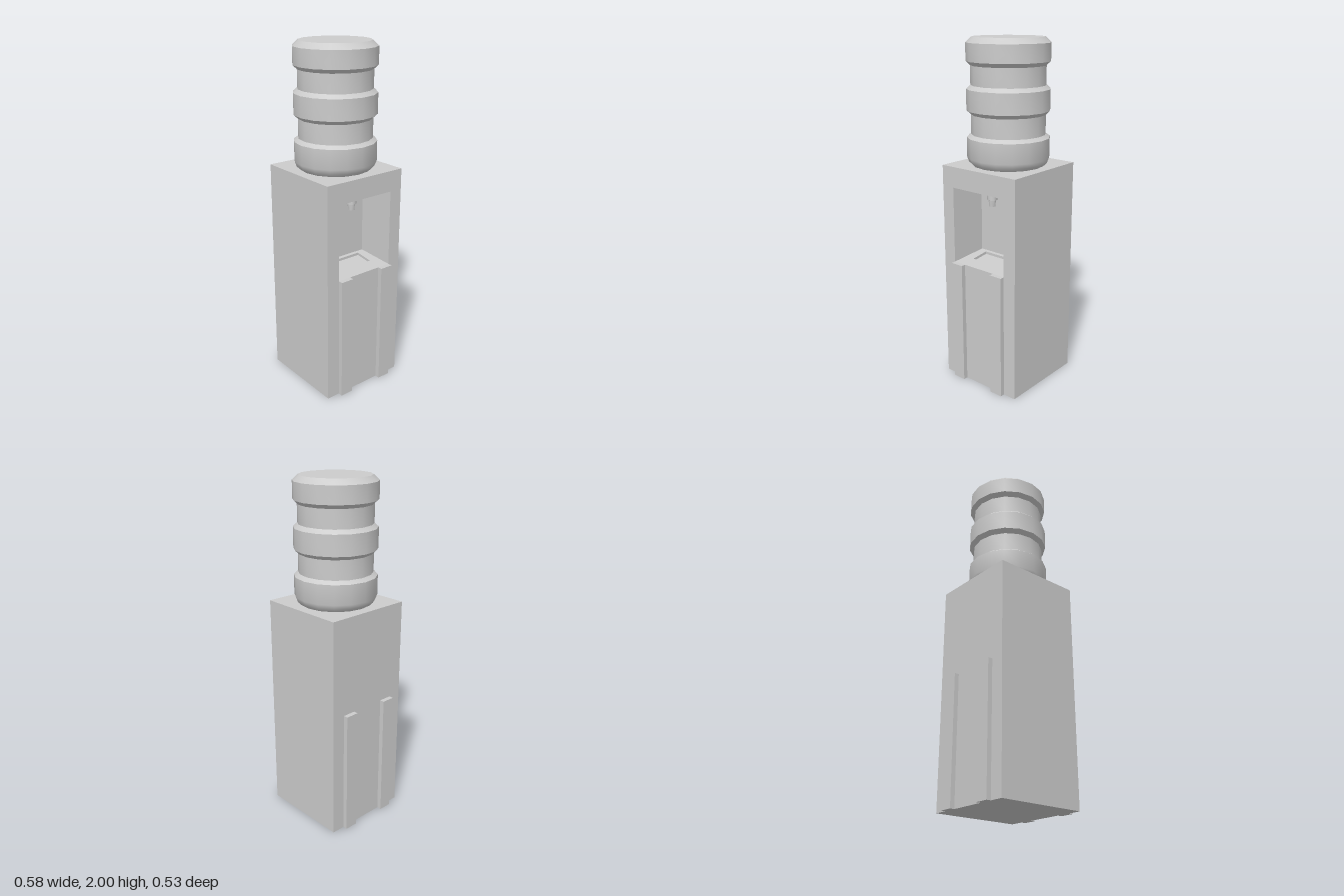
import * as THREE from 'three';
import { toCreasedNormals } from 'three/addons/utils/BufferGeometryUtils.js';

const material = new THREE.MeshStandardMaterial({ color: 0xcccccc });

function part(name, geometry, parent) {
  const mesh = new THREE.Mesh(geometry, material);
  mesh.name = name;
  parent.add(mesh);
  return mesh;
}

// Joins four-cornered rings with flat quads; skip(ring, side) leaves a side open
function loftRings(rings, { startCap = false, skip = () => false } = {}) {
  const pos = [];
  const quad = (a, b, c, d) => pos.push(...a, ...b, ...c, ...a, ...c, ...d);
  if (startCap) quad(...[...rings[0]].reverse());
  for (let r = 0; r < rings.length - 1; r++) {
    const a = rings[r], b = rings[r + 1];
    for (let i = 0; i < 4; i++) {
      const j = (i + 1) % 4;
      if (!skip(r, i)) quad(a[i], a[j], b[j], b[i]);
    }
  }
  quad(...rings[rings.length - 1]);
  const g = new THREE.BufferGeometry();
  g.setAttribute('position', new THREE.Float32BufferAttribute(pos, 3));
  g.computeVertexNormals();
  return g;
}

// Upright rectangle at a given x, counterclockwise as seen from +x
const uprightRing = (x, y0, y1, z) => [[x, y0, z], [x, y0, -z], [x, y1, -z], [x, y1, z]];

export function createModel() {
  const model = new THREE.Group();
  model.name = 'waterDispenser';

  const half = 0.264, height = 1.3, backX = 0.05;
  const mouth = uprightRing(half, 0.735, 1.18, 0.185);
  const back = uprightRing(backX, 0.76, 1.16, 0.165);

  // Cabinet with a tapered niche in the +x side; the niche floor is separate
  part('cabinet', loftRings([
    uprightRing(-half, 0, height, half),
    uprightRing(half, 0, height, half),
    mouth,
    back,
  ], { startCap: true, skip: (r, i) => r === 2 && i === 0 }), model);

  // Sloping niche floor with a shallow drip tray sunk into it
  const floorY = x => 0.735 + 0.025 * (half - x) / (half - backX);
  const trayRing = drop => [[0.18, 0.117], [0.18, -0.117], [0.07, -0.117], [0.07, 0.117]]
    .map(([x, z]) => [x, floorY(x) - drop, z]);
  part('dripTray', loftRings([
    [mouth[0], mouth[1], back[1], back[0]],
    trayRing(0),
    trayRing(0.015),
  ]), model);

  // Vertical ribs on both sides
  for (const sx of [-1, 1]) {
    for (const sz of [-1, 1]) {
      const rib = part('sideRib', new THREE.BoxGeometry(0.027, 0.735, 0.079), model);
      rib.position.set(sx * (half + 0.0135), 0.3675, sz * 0.1455);
    }
  }

  // Stepped tap hanging from the niche ceiling
  const lathe = (points, sides) => toCreasedNormals(
    new THREE.LatheGeometry(points.map(p => new THREE.Vector2(...p)), sides), 0.6);
  const tap = part('tap', lathe([
    [0, 1.08], [0.018, 1.08], [0.021, 1.115], [0.029, 1.118], [0.029, 1.175],
  ], 12), model);
  tap.position.x = 0.143;

  // Ribbed water bottle
  part('bottle', lathe([
    [0, 1.3], [0.205, 1.3], [0.224, 1.318], [0.234, 1.345],
    [0.234, 1.457], [0.21, 1.475], [0.21, 1.585], [0.234, 1.607],
    [0.234, 1.724], [0.21, 1.745], [0.21, 1.85], [0.234, 1.872],
    [0.234, 1.97], [0.201, 2], [0, 2],
  ], 16), model);

  return model;
}
